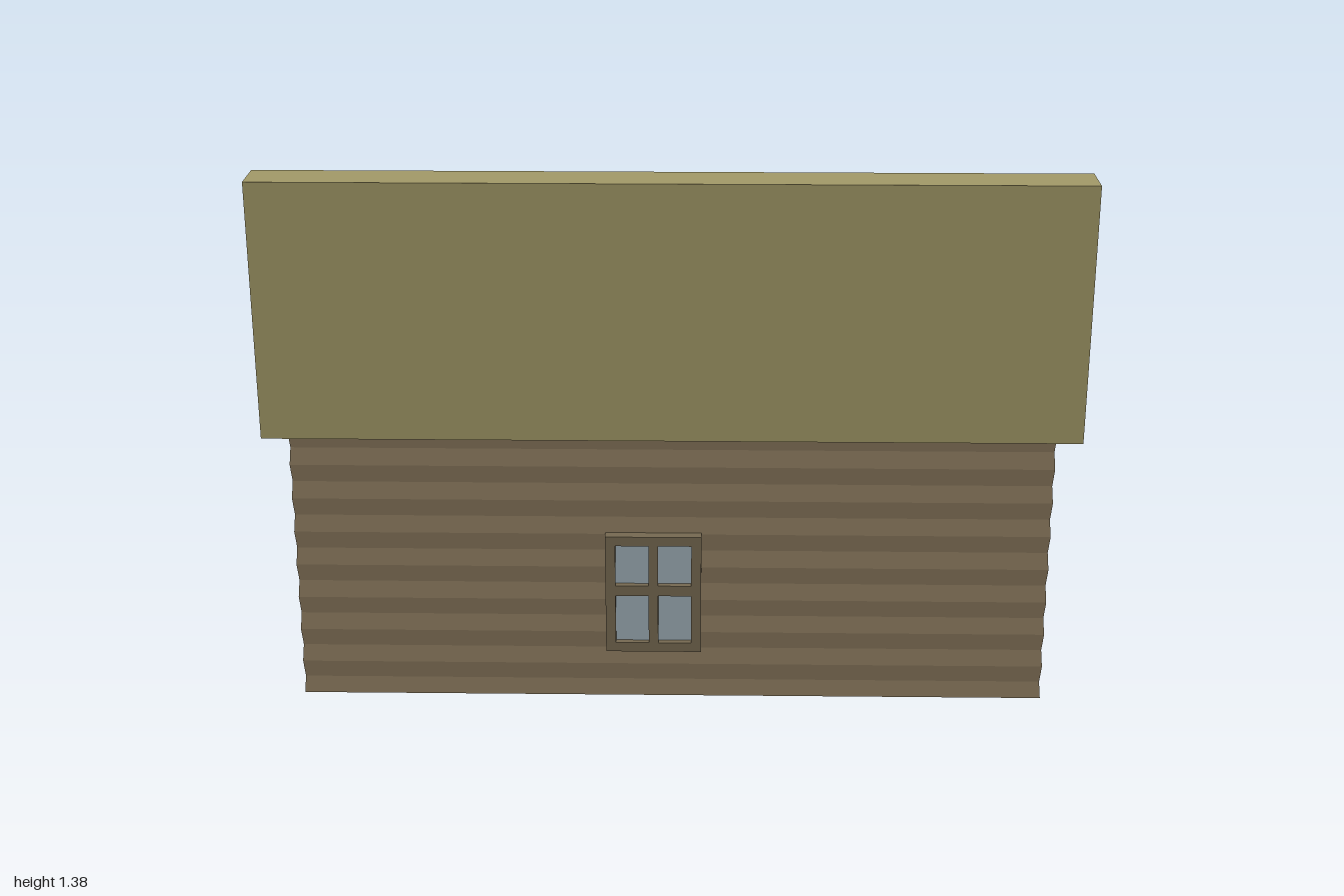
import * as THREE from 'three';

const material = (color) => new THREE.MeshStandardMaterial({ color, flatShading: true });
const wood = material(0x8c7b5f);
const thatch = material(0xa39a68);
const trim = material(0x776a52);
const doorWood = material(0x72604c);
const glass = material(0xa0b0b8);

function add(parent, name, geometry, mat, x = 0, y = 0, z = 0) {
  const mesh = new THREE.Mesh(geometry, mat);
  mesh.name = name;
  mesh.position.set(x, y, z);
  parent.add(mesh);
  return mesh;
}

function rect(path, x0, y0, x1, y1) {
  path.moveTo(x0, y0);
  path.lineTo(x1, y0);
  path.lineTo(x1, y1);
  path.lineTo(x0, y1);
  path.closePath();
  return path;
}

// Plank courses: every other row of vertices is drawn in slightly
function wallGeometry(width, height, depth, courses) {
  const geometry = new THREE.BoxGeometry(width, height, depth, 1, courses * 2, 1);
  const p = geometry.attributes.position;
  for (let i = 0; i < p.count; i++) {
    const row = Math.round((p.getY(i) / height + 0.5) * courses * 2);
    const inset = row % 2 ? 0.004 : 0;
    p.setX(i, p.getX(i) - Math.sign(p.getX(i)) * inset);
    p.setZ(i, p.getZ(i) - Math.sign(p.getZ(i)) * inset);
  }
  geometry.computeVertexNormals();
  return geometry;
}

// Four-pane window standing on its local origin and facing +z
function createWindow(name) {
  const group = new THREE.Group();
  group.name = name;
  const shape = rect(new THREE.Shape(), -0.12, 0, 0.12, 0.32);
  for (const [x0, x1] of [[-0.095, -0.012], [0.012, 0.095]]) {
    for (const [y0, y1] of [[0.025, 0.157], [0.185, 0.295]]) {
      shape.holes.push(rect(new THREE.Path(), x0, y0, x1, y1));
    }
  }
  const frame = new THREE.ExtrudeGeometry(shape, { depth: 0.032, bevelEnabled: false });
  add(group, 'windowFrame', frame, trim, 0, 0, -0.005);
  add(group, 'windowGlass', new THREE.BoxGeometry(0.21, 0.29, 0.016), glass, 0, 0.16, 0.004);
  return group;
}

export function createModel() {
  const model = new THREE.Group();
  model.name = 'cabin';

  add(model, 'walls', wallGeometry(1.89, 0.73, 1.625, 8), wood, 0, 0.365, 0.0025);

  // Stepped single-pitch roof, profile drawn as (z, y) and extruded along x
  const steps = 12, run = 0.1355, rise = 0.0541;
  const profile = new THREE.Shape();
  profile.moveTo(0.865, 0.73);
  profile.lineTo(0.865, 0.73 + steps * rise);
  for (let i = steps; i > 0; i--) {
    const z = -0.73 + (i - 1) * run;
    profile.lineTo(z, 0.73 + i * rise);
    profile.lineTo(z, 0.73 + (i - 1) * rise);
  }
  profile.closePath();
  const roof = new THREE.ExtrudeGeometry(profile, { depth: 2, bevelEnabled: false });
  roof.rotateY(-Math.PI / 2);
  add(model, 'roof', roof, thatch, 1, 0, 0);

  // Windows on the front and both sides
  const places = [
    ['frontWindow', -0.045, 0.14, 0.814, 0],
    ['leftWindow', 0.944, 0.03, -0.035, Math.PI / 2],
    ['rightWindow', -0.946, 0.22, 0.07, -Math.PI / 2],
  ];
  for (const [name, x, y, z, turn] of places) {
    const window = createWindow(name);
    window.position.set(x, y, z);
    window.rotation.y = turn;
    model.add(window);
  }

  // Back door: surround against the wall with the leaf over it
  add(model, 'doorSurround', new THREE.BoxGeometry(0.35, 0.515, 0.04), doorWood, 0.011, 0.2575, -0.82);
  add(model, 'door', new THREE.BoxGeometry(0.405, 0.54, 0.027), doorWood, 0.011, 0.27, -0.8515);

  return model;
}
